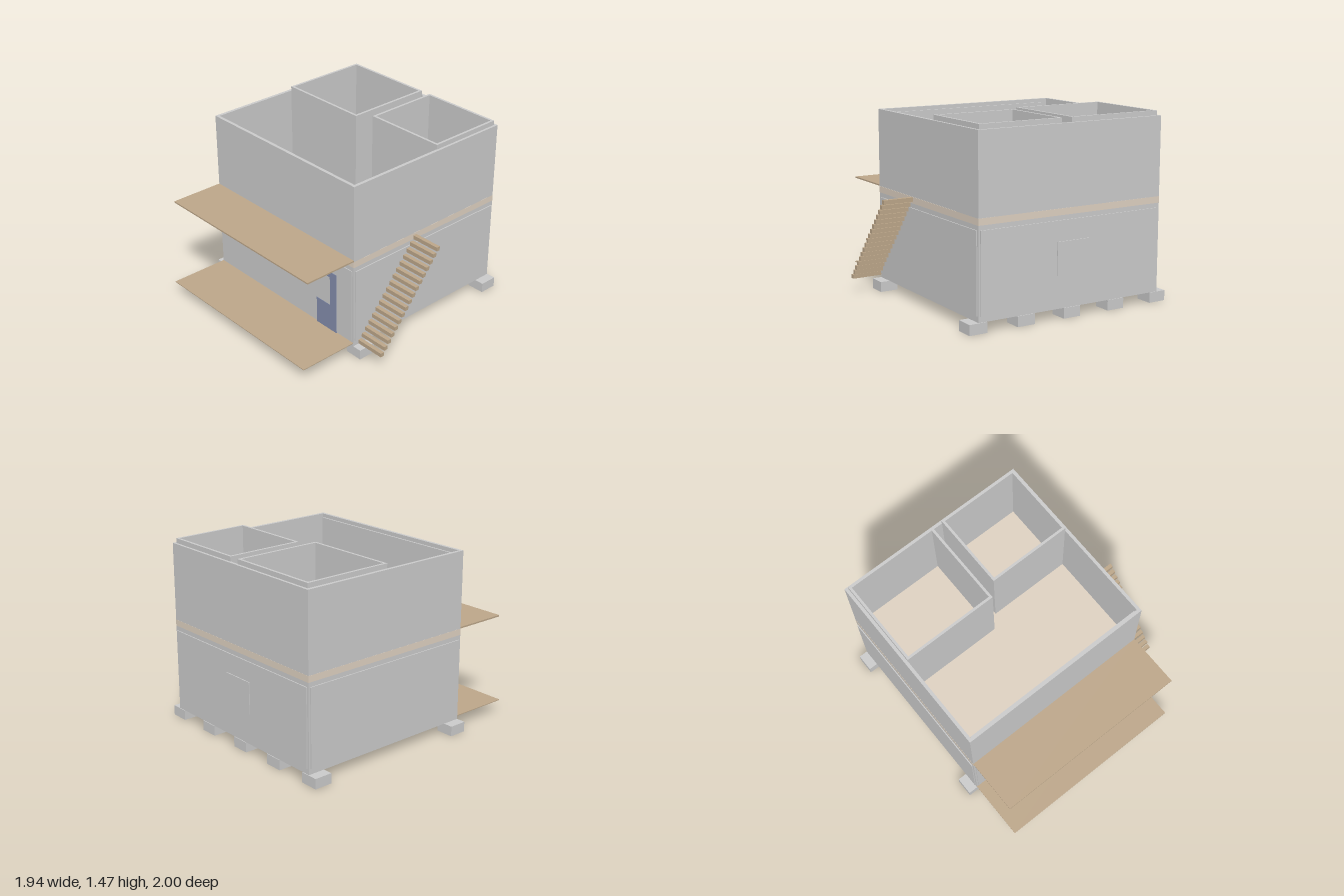
import * as THREE from 'three';

const grey = new THREE.MeshStandardMaterial({ color: 0xcccccc, flatShading: true });
const wood = new THREE.MeshStandardMaterial({ color: 0xbda78a, flatShading: true });
const floorTan = new THREE.MeshStandardMaterial({ color: 0xdfd2c2, flatShading: true });
const blue = new THREE.MeshStandardMaterial({ color: 0x838dac, flatShading: true });

// Box given by its minimum and maximum on each axis
function block(parent, name, x, y, z, material = grey) {
  const geometry = new THREE.BoxGeometry(x[1] - x[0], y[1] - y[0], z[1] - z[0]);
  const mesh = new THREE.Mesh(geometry, material);
  mesh.position.set((x[0] + x[1]) / 2, (y[0] + y[1]) / 2, (z[0] + z[1]) / 2);
  mesh.name = name;
  parent.add(mesh);
}

function rectangle(target, x0, x1, y0, y1) {
  target.moveTo(x0, y0);
  target.lineTo(x1, y0);
  target.lineTo(x1, y1);
  target.lineTo(x0, y1);
  target.closePath();
  return target;
}

// Four joined walls, open at the top and bottom
function wallRing(parent, name, x, y, z, t) {
  const shape = rectangle(new THREE.Shape(), x[0], x[1], -z[1], -z[0]);
  shape.holes.push(rectangle(new THREE.Path(), x[0] + t, x[1] - t, -z[1] + t, -z[0] - t));
  const geometry = new THREE.ExtrudeGeometry(shape, { depth: y[1] - y[0], bevelEnabled: false });
  geometry.rotateX(-Math.PI / 2);
  geometry.translate(0, y[0], 0);
  const mesh = new THREE.Mesh(geometry, grey);
  mesh.name = name;
  parent.add(mesh);
}

export function createModel() {
  const model = new THREE.Group();
  model.name = 'house';
  const X = [-0.895, 0.695];
  const Z = [-0.985, 0.512];

  // Outer shell and floors
  wallRing(model, 'outerWalls', X, [0.08, 1.43], Z, 0.025);
  block(model, 'groundFloor', [-0.88, 0.68], [0.081, 0.105], [-0.97, 0.495], floorTan);
  block(model, 'upperFloor', [-0.896, 0.696], [0.77, 0.82], [-0.986, 0.513], floorTan);

  // Upper rooms, rising just above the outer walls
  wallRing(model, 'leftRoomWalls', [-0.87, -0.095], [0.82, 1.467], [-0.965, -0.24], 0.02);
  wallRing(model, 'rightRoomWalls', [-0.01, 0.675], [0.82, 1.467], [-0.965, -0.335], 0.02);
  block(model, 'innerFrontPanel', [-0.86, 0.66], [0.87, 1.4], [0.473, 0.488]);

  // Cladding panels around the lower storey
  const panels = new THREE.Group();
  panels.name = 'wallPanels';
  block(panels, 'rightPanel', [-0.903, -0.893], [0.125, 0.735], [-0.97, 0.497]);
  block(panels, 'leftPanel', [0.693, 0.703], [0.125, 0.735], [-0.97, 0.497]);
  block(panels, 'frontPanel', [-0.88, 0.68], [0.125, 0.735], [0.51, 0.518]);
  block(panels, 'backPanel', [-0.88, 0.68], [0.125, 0.735], [-0.993, -0.983]);
  block(panels, 'backPlate', [-0.24, 0.04], [0.33, 0.58], [-1, -0.992]);
  model.add(panels);

  // Blue door panel with a square notch
  const door = new THREE.Shape([
    [0.295, 0.11], [0.515, 0.11], [0.515, 0.625], [0.295, 0.625],
    [0.295, 0.577], [0.445, 0.577], [0.445, 0.332], [0.295, 0.332],
  ].map(([x, y]) => new THREE.Vector2(x, y)));
  const doorMesh = new THREE.Mesh(
    new THREE.ExtrudeGeometry(door, { depth: 0.01, bevelEnabled: false }), blue);
  doorMesh.position.z = 0.511;
  doorMesh.name = 'doorPanel';
  model.add(doorMesh);

  // Thin decks in front
  block(model, 'lowerDeck', X, [0.104, 0.11], [0.512, 1], wood);
  block(model, 'upperDeck', X, [0.82, 0.832], [0.512, 0.95], wood);

  // Two rows of foundation feet
  const feet = new THREE.Group();
  feet.name = 'foundation';
  for (let i = 0; i < 5; i++) {
    const x = -0.898 + i * 0.399;
    for (const z of [-0.918, 0.44]) {
      block(feet, 'foot', [x - 0.073, x + 0.073], [0, 0.0795], [z - 0.072, z + 0.072]);
    }
  }
  model.add(feet);

  // Floating treads of the outside stair
  const stair = new THREE.Group();
  stair.name = 'stair';
  for (let i = 0; i < 17; i++) {
    const y = 0.13 + i * 0.0426;
    const z = 0.473 - i * 0.0346;
    block(stair, 'tread', [0.725, 0.966], [y - 0.016, y + 0.016], [z - 0.0155, z + 0.0155], wood);
  }
  model.add(stair);

  return model;
}
